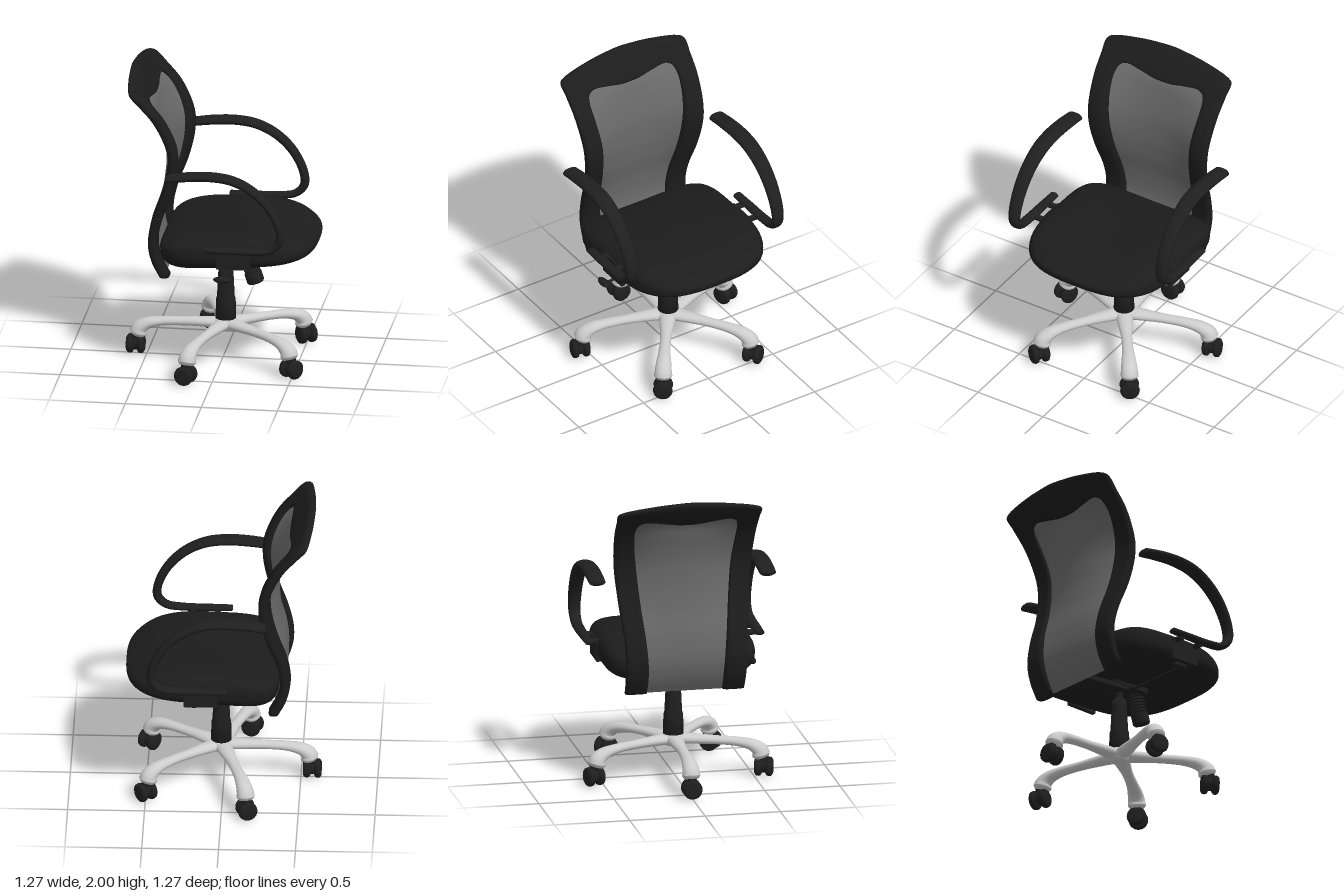
import * as THREE from 'three';

const mat = (name, color, side = THREE.FrontSide) => {
  const m = new THREE.MeshStandardMaterial({ color, side });
  m.name = name;
  return m;
};

// Smooth value lookup through [position, value] pairs
function lookup(table, v) {
  const n = table.length - 1;
  v = THREE.MathUtils.clamp(v, table[0][0], table[n][0]);
  let i = 0;
  while (i < n - 1 && v > table[i + 1][0]) i++;
  const slope = k => {
    const a = table[Math.max(k - 1, 0)], b = table[Math.min(k + 1, n)];
    return (b[1] - a[1]) / (b[0] - a[0]);
  };
  const [x0, y0] = table[i], [x1, y1] = table[i + 1], h = x1 - x0, t = (v - x0) / h;
  return y0 * (1 + 2 * t) * (1 - t) ** 2 + y1 * t * t * (3 - 2 * t)
    + h * slope(i) * t * (1 - t) ** 2 + h * slope(i + 1) * t * t * (t - 1);
}

// Surface through rows of points; closed joins the ends of each row
function skin(rows, closed = true) {
  const n = rows[0].length, index = [];
  for (let i = 0; i < rows.length - 1; i++) {
    for (let j = 0; j < (closed ? n : n - 1); j++) {
      const k = (j + 1) % n, a = i * n + j, b = i * n + k, c = a + n, d = b + n;
      index.push(a, b, c, b, d, c);
    }
  }
  const g = new THREE.BufferGeometry();
  g.setAttribute('position', new THREE.Float32BufferAttribute(rows.flat(2), 3));
  g.setIndex(index);
  g.computeVertexNormals();
  return g;
}

// Elliptical sweep in the XY plane; points are [x, y, radiusInPlane, radiusSideways]
function sweep(points, steps = 48, sides = 20) {
  const path = new THREE.CatmullRomCurve3(points.map(p => new THREE.Vector3(p[0], p[1], 0)));
  const radius = k => points.map((p, i) => [i / (points.length - 1), p[k]]);
  const ring = (u, scale, push) => {
    const p = path.getPoint(u), t = path.getTangent(u);
    const r1 = lookup(radius(2), u), r2 = lookup(radius(3), u) * scale;
    return Array.from({ length: sides }, (_, j) => {
      const a = j / sides * Math.PI * 2, c = Math.cos(a) * r1 * scale;
      return [p.x - t.y * c + t.x * push * r1, p.y + t.x * c + t.y * push * r1, Math.sin(a) * r2];
    });
  };
  const rows = [ring(0, 0, -0.7), ring(0, 0.7, -0.5)];
  for (let i = 0; i <= steps; i++) rows.push(ring(i / steps, 1, 0));
  rows.push(ring(1, 0.75, 0.33), ring(1, 0, 0.45));
  return skin(rows);
}

const power = (v, e) => Math.sign(v) * Math.abs(v) ** e;

// Backrest curvature: x of the edge by height, and how far the middle sits behind it
const edgeX = [[0.66, -0.335], [0.76, -0.385], [0.89, -0.41], [1.05, -0.38], [1.24, -0.31],
  [1.42, -0.272], [1.56, -0.282], [1.74, -0.365], [1.87, -0.475], [1.93, -0.53], [2, -0.58]];
const bulge = [[0.66, 0], [0.9, 0.01], [1.1, 0.04], [1.3, 0.075], [1.5, 0.095], [1.72, 0.06],
  [1.82, 0.02], [2, 0]];
const backX = (y, z) => lookup(edgeX, y) - lookup(bulge, y) * (1 - Math.min(1, (z / 0.36) ** 2));

// Half outline of the frame: outer z, y, then inner z, y
const frameHalf = [[0.395, 0.66, 0.25, 0.66], [0.4, 0.8, 0.25, 0.8], [0.405, 1, 0.262, 0.98],
  [0.43, 1.25, 0.288, 1.23], [0.455, 1.5, 0.314, 1.5], [0.47, 1.75, 0.336, 1.7],
  [0.474, 1.86, 0.338, 1.78], [0.476, 1.925, 0.322, 1.825], [0.44, 1.945, 0.275, 1.847],
  [0.25, 1.98, 0.17, 1.835], [0.1, 1.995, 0.07, 1.818]];

function backFrameGeometry() {
  const all = [...frameHalf, [0, 2, 0, 1.815],
    ...frameHalf.slice().reverse().map(([a, b, c, d]) => [-a, b, -c, d])];
  const outer = new THREE.CatmullRomCurve3(all.map(p => new THREE.Vector3(0, p[1], p[0])));
  const inner = new THREE.CatmullRomCurve3(all.map(p => new THREE.Vector3(0, p[3], p[2])));
  const steps = 132, sides = 24, rows = [];
  const ring = (u, scale) => {
    const o = outer.getPoint(u), n = inner.getPoint(u);
    const m = o.clone().add(n).multiplyScalar(0.5), h = o.clone().sub(n).multiplyScalar(0.5);
    return Array.from({ length: sides }, (_, j) => {
      const a = j / sides * Math.PI * 2, c = power(Math.cos(a), 0.5) * scale;
      const y = m.y + h.y * c, z = m.z + h.z * c;
      return [backX(y, z) + 0.033 * scale * power(Math.sin(a), 0.7), y, z];
    });
  };
  rows.push(ring(0, 0));
  for (let i = 0; i <= steps; i++) rows.push(ring(i / steps, 1));
  rows.push(ring(1, 0));
  return skin(rows);
}

function backMeshGeometry() {
  const half = frameHalf.slice(0, 9).map(p => [p[3], p[2]]);
  const rows = [];
  for (let i = 0; i <= 40; i++) {
    const y = 0.66 + i / 40 * 1.2, w = lookup(half, y) + 0.02;
    rows.push(Array.from({ length: 21 }, (_, j) => {
      const z = (1 - j / 10) * w;
      return [backX(y, z), y, z];
    }));
  }
  return skin(rows, false);
}

// Cushion: squared-off plan, full rounded rim, slightly dished top
function seatGeometry() {
  const top = [[-0.38, 0.945], [-0.12, 0.985], [0.17, 1.0], [0.43, 0.985], [0.56, 0.95], [0.64, 0.92]];
  const bottom = [[-0.38, 0.692], [-0.1, 0.72], [0.17, 0.745], [0.43, 0.76], [0.64, 0.772]];
  const rows = [];
  for (let i = 0; i <= 36; i++) {
    const phi = (i / 36 - 0.5) * Math.PI;
    const r = Math.max(Math.cos(phi), 0) ** (phi < 0 ? 0.5 : 0.4), s = power(Math.sin(phi), 0.75);
    rows.push(Array.from({ length: 72 }, (_, j) => {
      const a = j / 72 * Math.PI * 2, sx = Math.sin(a);
      const e = sx > 0 ? 0.68 : 0.36;
      const x = 0.13 + 0.505 * r * power(sx, e), z = 0.505 * r * power(Math.cos(a), e);
      const rim = 0.86;
      const y = s > 0
        ? rim + s * (lookup(top, x) - 0.025 + 0.035 * (z / 0.5) ** 2 - rim)
        : rim + s * (rim - lookup(bottom, x));
      return [x, y, z];
    }));
  }
  return skin(rows);
}

export function createModel() {
  const model = new THREE.Group();
  model.name = 'officeChair';
  const fabric = mat('black fabric', 0x1c1c1c);
  const plastic = mat('black plastic', 0x1f1f1f);
  const netting = mat('grey mesh', 0x6a6a6a, THREE.DoubleSide);
  const metal = mat('silver metal', 0xcccccc);

  const add = (name, geometry, material, x = 0, y = 0, z = 0, parent = model) => {
    const m = new THREE.Mesh(geometry, material);
    m.name = name;
    m.position.set(x, y, z);
    parent.add(m);
    return m;
  };
  const lathe = pts => new THREE.LatheGeometry(pts.map(p => new THREE.Vector2(...p)), 28);

  // Seat and backrest
  add('seat', seatGeometry(), fabric);
  add('backFrame', backFrameGeometry(), fabric);
  add('backMesh', backMeshGeometry(), netting);

  // Looped armrests with side brackets
  const armGeo = sweep([[-0.28, 1.41, 0.026, 0.055], [-0.15, 1.428, 0.028, 0.058],
    [0, 1.435, 0.028, 0.058], [0.14, 1.415, 0.028, 0.056], [0.27, 1.35, 0.028, 0.052],
    [0.38, 1.24, 0.028, 0.048], [0.448, 1.1, 0.028, 0.044], [0.452, 1.01, 0.028, 0.04],
    [0.395, 0.95, 0.024, 0.037], [0.28, 0.932, 0.022, 0.036], [0.12, 0.93, 0.02, 0.034],
    [-0.03, 0.93, 0.018, 0.03]], 80);
  for (const s of [1, -1]) {
    add('armrest', armGeo, plastic, 0, 0, s * 0.566);
    add('armBracket', new THREE.BoxGeometry(0.22, 0.14, 0.03), plastic, 0.135, 0.85, s * 0.492);
    for (const x of [0.06, 0.22]) {
      add('armBolt', new THREE.CylinderGeometry(0.02, 0.02, 0.09, 16), plastic, x, 0.912, s * 0.52)
        .rotation.x = Math.PI / 2;
    }
  }

  // Tilt mechanism under the seat
  add('mechanism', new THREE.BoxGeometry(0.3, 0.06, 0.18), plastic, 0.04, 0.74, 0);
  add('backSupport', new THREE.BoxGeometry(0.36, 0.03, 0.16), plastic, -0.15, 0.692, 0)
    .rotation.z = 0.08;

  // Tension spring and knob
  const tension = new THREE.Group();
  tension.name = 'tensionAdjuster';
  tension.position.set(0.15, 0.74, 0);
  tension.rotation.z = 0.3;
  model.add(tension);
  add('springCore', new THREE.CylinderGeometry(0.042, 0.042, 0.17, 20), plastic, 0, -0.07, 0, tension);
  for (let i = 0; i < 7; i++) {
    add('springCoil', new THREE.TorusGeometry(0.045, 0.009, 8, 24), plastic, 0, -0.01 - i * 0.021, 0, tension)
      .rotation.x = Math.PI / 2;
  }
  add('tensionKnob', lathe([[0, -0.225], [0.05, -0.225], [0.057, -0.215], [0.057, -0.155],
    [0.05, -0.148], [0, -0.148]]), plastic, 0, 0, 0, tension);

  // Height lever
  add('leverRod', new THREE.CylinderGeometry(0.008, 0.008, 0.45, 10), plastic, 0.07, 0.712, 0.3)
    .rotation.x = Math.PI / 2;
  add('leverPaddle', new THREE.SphereGeometry(1, 20, 12), plastic, 0.07, 0.717, 0.53)
    .scale.set(0.06, 0.022, 0.028);

  // Gas lift column
  const cx = 0.018;
  add('columnCover', lathe([[0, 0.26], [0.068, 0.26], [0.064, 0.4], [0.058, 0.42], [0.05, 0.58],
    [0.046, 0.635], [0, 0.635]]), plastic, cx);
  add('columnRod', new THREE.CylinderGeometry(0.024, 0.024, 0.16, 20), plastic, cx, 0.68, 0);

  // Five-star base with twin-wheel casters
  const hub = lathe([[0, 0.195], [0.05, 0.195], [0.07, 0.21], [0.08, 0.25], [0.072, 0.272], [0, 0.276]]);
  add('baseHub', hub, metal, cx);
  const legGeo = sweep([[0, 0.237, 0.036, 0.06], [0.12, 0.238, 0.034, 0.05],
    [0.28, 0.234, 0.029, 0.036], [0.43, 0.226, 0.031, 0.04], [0.52, 0.206, 0.04, 0.05],
    [0.566, 0.172, 0.053, 0.056], [0.575, 0.145, 0.06, 0.06]], 40);
  const wheelGeo = lathe([[0, -0.024], [0.045, -0.024], [0.06, -0.015], [0.064, 0],
    [0.06, 0.015], [0.045, 0.024], [0, 0.024]]);
  for (let i = 0; i < 5; i++) {
    const spoke = new THREE.Group();
    spoke.name = 'baseSpoke';
    spoke.position.x = cx;
    spoke.rotation.y = Math.PI * (0.2 + i * 0.4);
    model.add(spoke);
    add('baseLeg', legGeo, metal, 0, 0, 0, spoke);
    add('casterStem', new THREE.CylinderGeometry(0.03, 0.03, 0.06, 16), plastic, 0.592, 0.105, 0, spoke);
    add('casterAxle', new THREE.CylinderGeometry(0.045, 0.045, 0.05, 20), plastic, 0.592, 0.068, 0, spoke)
      .rotation.z = Math.PI / 2;
    for (const s of [1, -1]) {
      add('casterWheel', wheelGeo, plastic, 0.592 + s * 0.036, 0.064, 0, spoke).rotation.z = Math.PI / 2;
    }
  }
  return model;
}
